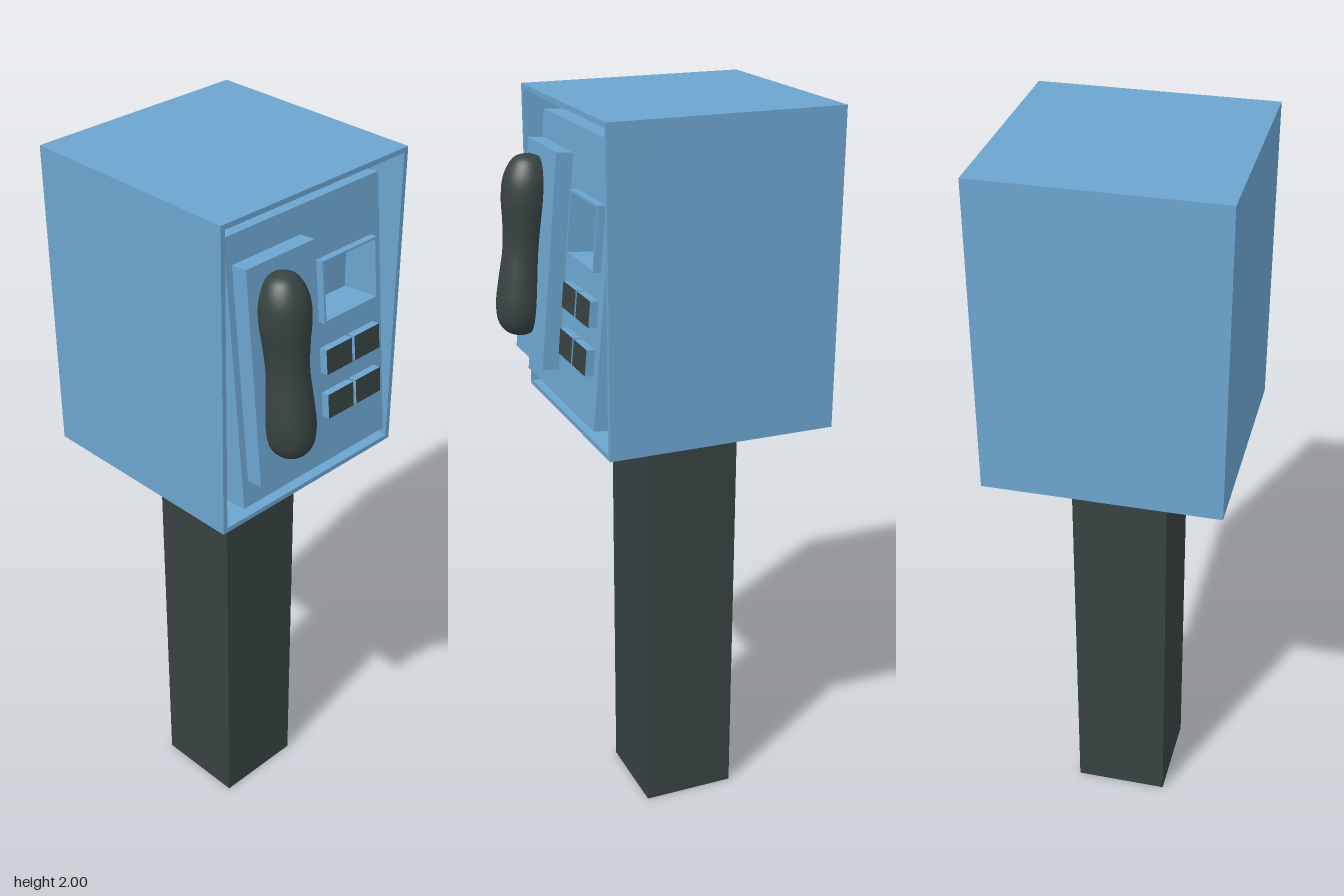
import * as THREE from 'three';

const blue = new THREE.MeshStandardMaterial({ color: 0x6ca5d0 });
blue.name = 'blue paint';
const dark = new THREE.MeshStandardMaterial({ color: 0x374241 });
dark.name = 'dark grey';

function add(parent, name, geometry, material, x = 0, y = 0, z = 0) {
  const mesh = new THREE.Mesh(geometry, material);
  mesh.name = name;
  mesh.position.set(x, y, z);
  parent.add(mesh);
  return mesh;
}

// Box given by its limits on each axis
function block(parent, name, material, [x0, x1], [y0, y1], [z0, z1]) {
  return add(parent, name, new THREE.BoxGeometry(x1 - x0, y1 - y0, z1 - z0), material,
    (x0 + x1) / 2, (y0 + y1) / 2, (z0 + z1) / 2);
}

// Rectangular slab with a rectangular hole, extruded towards +z
function holed([x0, x1], [y0, y1], [hx0, hx1], [hy0, hy1], depth) {
  const rect = (path, a, b, c, d) => path.moveTo(a, c).lineTo(b, c).lineTo(b, d).lineTo(a, d).closePath();
  const shape = new THREE.Shape();
  rect(shape, x0, x1, y0, y1);
  const hole = new THREE.Path();
  rect(hole, hx0, hx1, hy0, hy1);
  shape.holes.push(hole);
  return new THREE.ExtrudeGeometry(shape, { depth, bevelEnabled: false });
}

export function createModel() {
  const model = new THREE.Group();
  model.name = 'payPhone';

  // Square post with a blue underside
  block(model, 'post', [dark, dark, dark, blue, dark, dark], [-0.13, 0.127], [0, 1.17], [-0.195, 0.065]);

  // Housing: solid rear and a thin rim around the front recess
  block(model, 'housing', blue, [-0.31, 0.31], [1.17, 2], [-0.38, 0.14]);
  add(model, 'housingRim',
    holed([-0.31, 0.31], [1.17, 2], [-0.297, 0.297], [1.183, 1.987], 0.1), blue, 0, 0, 0.14);

  // Leaning control face; local y starts at the panel's bottom edge
  const face = new THREE.Group();
  face.name = 'controlFace';
  face.position.set(0, 1.235, 0.262);
  face.rotation.x = -Math.atan(0.093);
  model.add(face);

  const windowX = [0.03, 0.224], windowY = [0.394, 0.557];
  const pocketX = [0.036, 0.218], pocketY = [0.4, 0.551];
  add(face, 'panel', holed([-0.26, 0.256], [0, 0.708], pocketX, pocketY, 0.13), blue, 0, 0, -0.13);
  add(face, 'windowFrame', holed(windowX, windowY, pocketX, pocketY, 0.02), blue);

  // Keys: blue bodies with dark faces
  for (const y of [0.134, 0.257]) {
    for (const x of [0.03, 0.132]) {
      block(face, 'key', [blue, blue, blue, blue, dark, blue], [x, x + 0.092], [y, y + 0.067], [-0.005, 0.022]);
    }
  }

  // Cradle plate and handset
  block(face, 'cradlePlate', blue, [-0.241, -0.019], [0.072, 0.637], [-0.005, 0.045]);
  const profile = new THREE.SplineCurve([
    [0, -0.24], [0.03, -0.233], [0.054, -0.205], [0.0625, -0.155], [0.059, -0.09], [0.053, -0.01],
    [0.057, 0.06], [0.064, 0.125], [0.06, 0.18], [0.037, 0.226], [0, 0.24],
  ].map(([r, y]) => new THREE.Vector2(r, y))).getPoints(44);
  profile.forEach((p) => { p.x = Math.max(p.x, 0); });
  const handset = add(face, 'handset', new THREE.LatheGeometry(profile, 32), dark, -0.155, 0.371, 0.07);
  handset.scale.z = 1.03;

  return model;
}
